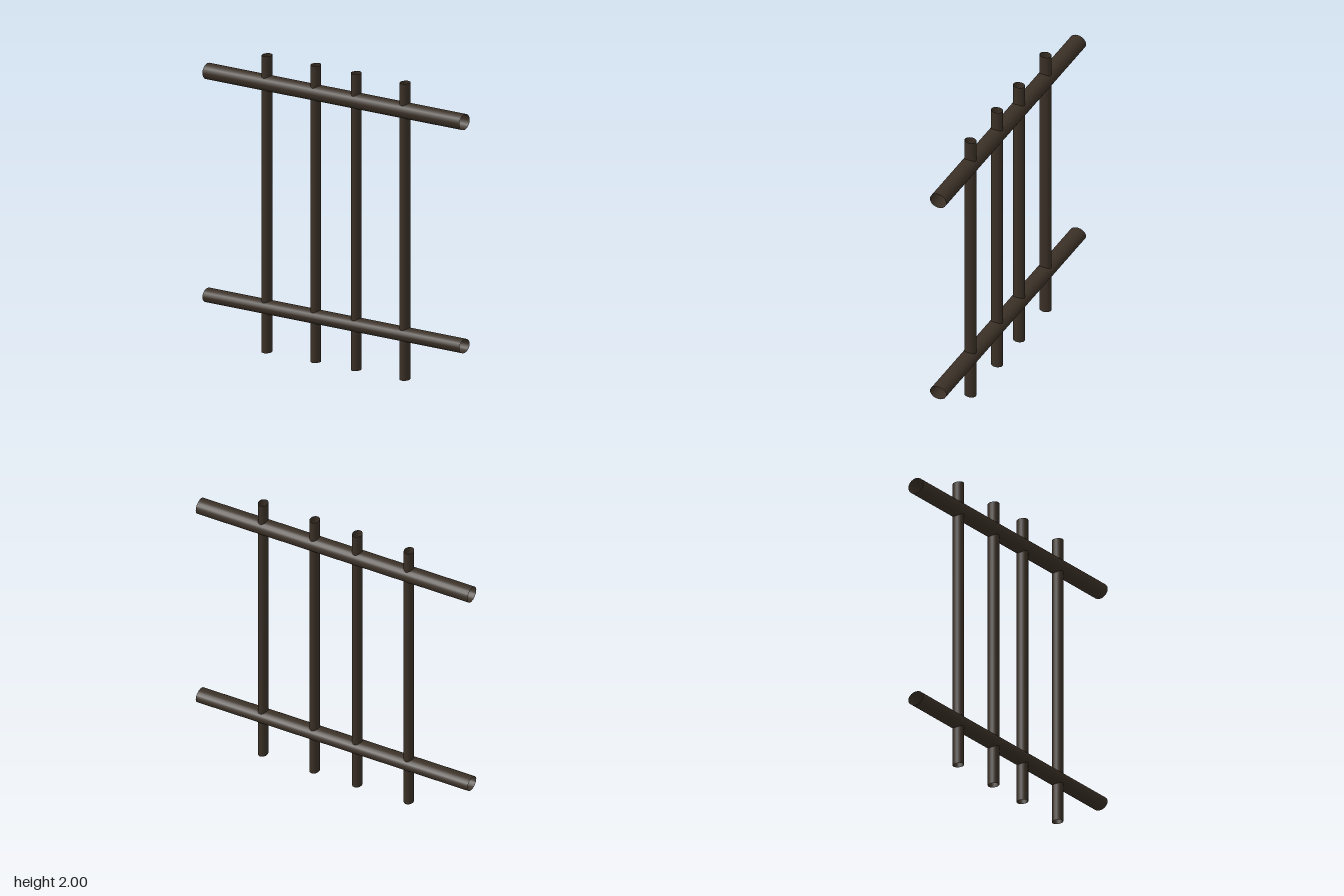
import * as THREE from 'three';

export function createModel() {
  const group = new THREE.Group();
  group.name = 'barGrille';
  const material = new THREE.MeshStandardMaterial({ color: 0x3a3026, side: THREE.DoubleSide });

  // Open tube along y with an oval cross-section
  const tube = (name, rx, rz, length) => {
    const geometry = new THREE.CylinderGeometry(1, 1, length, 20, 1, true);
    geometry.scale(rx, 1, rz);
    const mesh = new THREE.Mesh(geometry, material);
    mesh.name = name;
    group.add(mesh);
    return mesh;
  };

  // Four upright bars, mirrored about the middle
  for (const x of [-0.537, -0.157, 0.157, 0.537]) {
    tube('uprightBar', 0.032, 0.04, 2).position.set(x, 1, 0);
  }

  // Two thicker cross rails, the upper one slightly taller
  for (const [name, y, r] of [['lowerRail', 0.303, 0.047], ['upperRail', 1.812, 0.053]]) {
    const rail = tube(name, r, 0.059, 2);
    rail.rotation.z = Math.PI / 2;
    rail.position.y = y;
  }

  return group;
}
